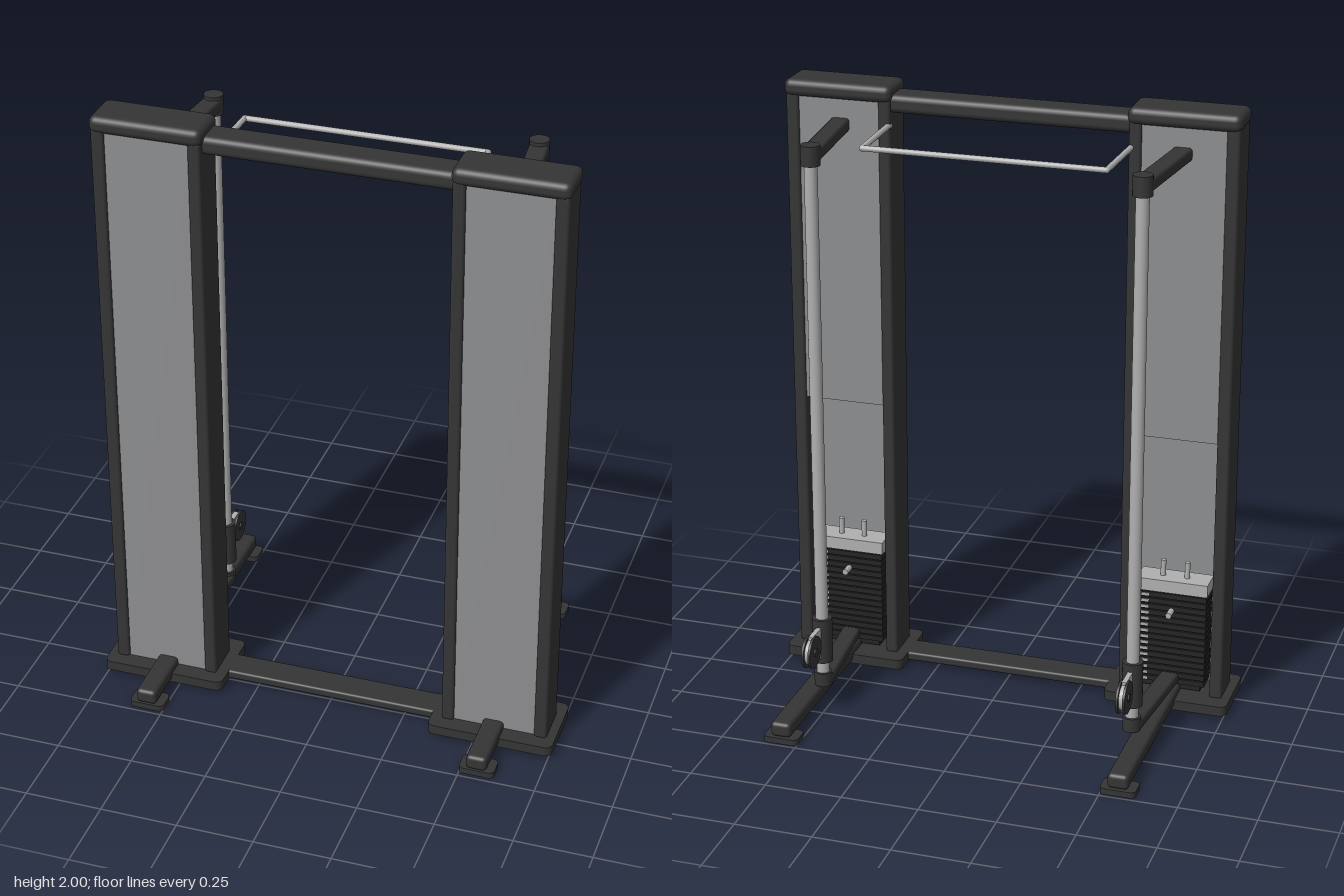
import * as THREE from 'three';
import { RoundedBoxGeometry } from 'three/addons/geometries/RoundedBoxGeometry.js';

const mat = (name, color) => {
  const m = new THREE.MeshStandardMaterial({ color });
  m.name = name;
  return m;
};

export function createModel() {
  const frame = mat('charcoal frame', 0x353535);
  const panelGrey = mat('panel grey', 0x8d8e90);
  const steel = mat('steel', 0xb0b0b0);
  const iron = mat('dark iron', 0x242424);

  const root = new THREE.Group();
  root.name = 'cableTrainer';

  const add = (parent, name, geo, m, x = 0, y = 0, z = 0) => {
    const mesh = new THREE.Mesh(geo, m);
    mesh.name = name;
    mesh.position.set(x, y, z);
    parent.add(mesh);
    return mesh;
  };
  // box given by its limits, with optional rounded edges
  const box = (parent, name, m, [x0, x1], [y0, y1], [z0, z1], r = 0) => {
    const s = [Math.abs(x1 - x0), y1 - y0, z1 - z0];
    const geo = r ? new RoundedBoxGeometry(...s, 3, r) : new THREE.BoxGeometry(...s);
    return add(parent, name, geo, m, (x0 + x1) / 2, (y0 + y1) / 2, (z0 + z1) / 2);
  };
  const rod = (parent, name, m, r, y0, y1, x, z, sides = 24) =>
    add(parent, name, new THREE.CylinderGeometry(r, r, y1 - y0, sides), m, x, (y0 + y1) / 2, z);
  // flat plate with rounded corners in plan
  const plate = (parent, name, m, w, d, h, r, x, y, z) => {
    const s = new THREE.Shape();
    const a = w / 2 - r, b = d / 2 - r;
    s.absarc(a, b, r, 0, Math.PI / 2);
    s.absarc(-a, b, r, Math.PI / 2, Math.PI);
    s.absarc(-a, -b, r, Math.PI, Math.PI * 1.5);
    s.absarc(a, -b, r, Math.PI * 1.5, Math.PI * 2);
    const geo = new THREE.ExtrudeGeometry(s, { depth: h, bevelEnabled: false, curveSegments: 6 });
    geo.rotateX(-Math.PI / 2);
    return add(parent, name, geo, m, x, y, z);
  };

  for (const side of [1, -1]) {
    const g = new THREE.Group();
    g.name = side > 0 ? 'leftTower' : 'rightTower';
    root.add(g);
    const X = (a, b) => [a * side, b * side];
    const cx = 0.555 * side;

    // floor plate, leg and feet
    plate(g, 'basePlate', frame, 0.41, 0.245, 0.033, 0.025, cx, 0.012, 0.215);
    box(g, 'leg', frame, X(0.521, 0.589), [0.02, 0.07], [-0.485, 0.485], 0.014);
    for (const z of [-0.453, 0.448])
      plate(g, 'foot', frame, 0.115, 0.074, 0.02, 0.018, cx, 0, z);

    // columns, cap and panels
    box(g, 'innerColumn', frame, X(0.385, 0.425), [0.04, 1.96], [0.153, 0.29], 0.01);
    box(g, 'outerColumn', frame, X(0.69, 0.732), [0.04, 1.96], [0.153, 0.29], 0.01);
    box(g, 'towerCap', frame, X(0.38, 0.737), [1.945, 2], [0.145, 0.295], 0.022);
    box(g, 'frontPanel', panelGrey, X(0.42, 0.695), [0.045, 1.95], [0.272, 0.28]);
    box(g, 'backPanel', panelGrey, X(0.42, 0.695), [0.93, 1.95], [0.162, 0.17]);

    // weight stack
    const stack = new THREE.Group();
    stack.name = 'weightStack';
    g.add(stack);
    for (let i = 0; i < 15; i++) {
      const y = 0.07 + i * 0.0215;
      box(stack, 'weightPlate', iron, [cx - 0.115, cx + 0.115], [y, y + 0.0175], [0.165, 0.25]);
      box(stack, 'plateLabel', steel, [cx + 0.075, cx + 0.1], [y + 0.004, y + 0.013], [0.162, 0.166]);
    }
    box(stack, 'stackCore', iron, [cx - 0.1, cx + 0.1], [0.05, 0.395], [0.175, 0.24]);
    box(stack, 'topPlate', steel, [cx - 0.118, cx + 0.118], [0.393, 0.435], [0.163, 0.252]);
    for (const dx of [-0.04, 0.04])
      rod(stack, 'stackRod', steel, 0.009, 0.43, 0.49, cx + dx, 0.208, 12);
    const pin = add(stack, 'selectorPin', new THREE.CylinderGeometry(0.01, 0.01, 0.045, 12), steel, cx, 0.33, 0.147);
    pin.rotation.x = Math.PI / 2;

    // arms holding the guide pole
    const px = 0.52 * side, pz = -0.185;
    const arm = (name, y0, y1) => {
      const dx = px - 0.555 * side, dz = pz - 0.18;
      const m = add(g, name, new RoundedBoxGeometry(0.06, y1 - y0, Math.hypot(dx, dz), 3, 0.01), frame,
        (px + 0.555 * side) / 2, (y0 + y1) / 2, (pz + 0.18) / 2);
      m.rotation.y = Math.atan2(dx, dz);
    };
    arm('upperArm', 1.843, 1.885);
    arm('lowerArm', 0.072, 0.108);
    rod(g, 'upperCollar', frame, 0.031, 1.832, 1.896, px, pz);
    rod(g, 'lowerCollar', frame, 0.029, 0.074, 0.12, px, pz);
    rod(g, 'guidePole', steel, 0.021, 0.1, 1.85, px, pz);

    // sliding carriage and pulley
    const car = new THREE.Group();
    car.name = 'pulleyCarriage';
    g.add(car);
    rod(car, 'slider', frame, 0.033, 0.16, 0.312, px, pz);
    box(car, 'pulleyBracket', steel, [px - 0.008, px + 0.008], [0.183, 0.288], [-0.29, -0.2]);
    const disc = (name, m, r, w, dx) => {
      const d = add(car, name, new THREE.CylinderGeometry(r, r, w, 28), m, px + dx, 0.236, -0.287);
      d.rotation.z = Math.PI / 2;
    };
    disc('pulleyWheel', steel, 0.042, 0.014, 0);
    for (const dx of [-0.011, 0.011]) disc('pulleyCover', frame, 0.053, 0.008, dx);
    disc('pulleyHub', frame, 0.014, 0.038, 0);
  }

  // crossbars joining the towers
  box(root, 'topCrossbar', frame, [-0.4, 0.4], [1.912, 1.972], [0.162, 0.267], 0.02);
  box(root, 'bottomCrossbar', frame, [-0.4, 0.4], [0.015, 0.045], [0.165, 0.265], 0.008);

  // pull-up bar: two side rails and a grip
  const pullUp = new THREE.Group();
  pullUp.name = 'pullUpBar';
  root.add(pullUp);
  const tube = (name, a, b) => add(pullUp, name,
    new THREE.TubeGeometry(new THREE.LineCurve3(new THREE.Vector3(...a), new THREE.Vector3(...b)), 1, 0.0095, 12), steel);
  for (const s of [1, -1]) {
    tube('barRail', [0.393 * s, 1.872, 0.17], [0.386 * s, 1.872, -0.097]);
    add(pullUp, 'barCorner', new THREE.SphereGeometry(0.0095, 12, 8), steel, 0.386 * s, 1.872, -0.097);
  }
  tube('barGrip', [-0.386, 1.872, -0.097], [0.386, 1.872, -0.097]);

  return root;
}
